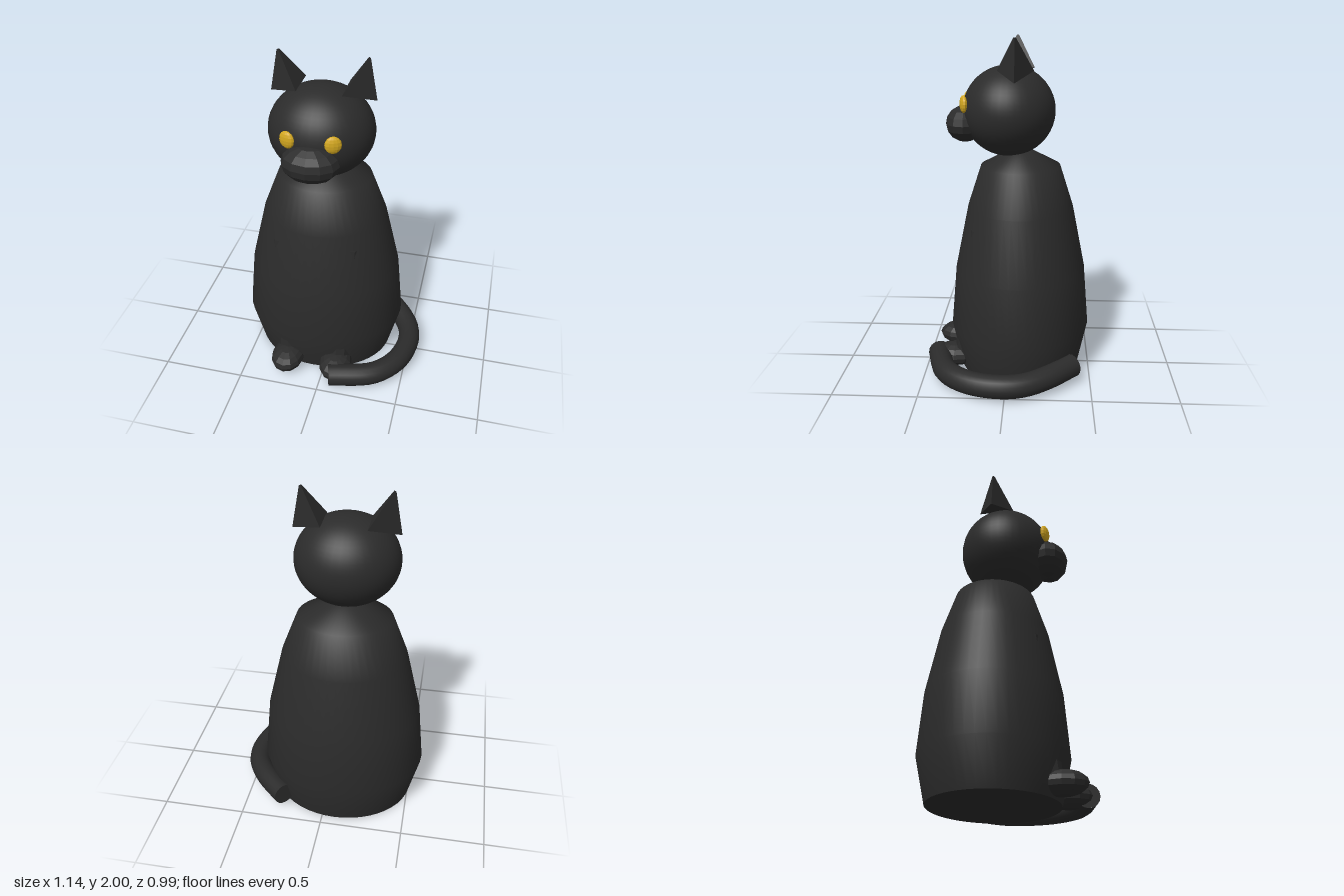
import * as THREE from 'three';

const CX = -0.075; // symmetry plane of body and head

export function createModel() {
  const fur = new THREE.MeshStandardMaterial({ color: 0x2b2b2b });
  fur.name = 'black fur';
  const furFlat = new THREE.MeshStandardMaterial({ color: 0x2b2b2b, flatShading: true });
  furFlat.name = 'black fur';
  const gold = new THREE.MeshStandardMaterial({ color: 0xd4a820, flatShading: true });
  gold.name = 'gold eye';

  const model = new THREE.Group();
  model.name = 'sittingCat';
  const add = (name, geometry, material, x = 0, y = 0, z = 0) => {
    const mesh = new THREE.Mesh(geometry, material);
    mesh.name = name;
    mesh.position.set(x, y, z);
    model.add(mesh);
    return mesh;
  };
  const ellipsoid = (name, material, [x, y, z], [rx, ry, rz], w, h) => {
    const mesh = add(name, new THREE.SphereGeometry(1, w, h), material, x, y, z);
    mesh.scale.set(rx, ry, rz);
    return mesh;
  };

  // Body: oval lathe with a flat base
  const profile = [[0.435, 0], [0.5, 0.26], [0.465, 0.62], [0.375, 1.0], [0.28, 1.25], [0.08, 1.34], [0, 1.34]]
    .map(([r, y]) => new THREE.Vector2(r, y));
  add('body', new THREE.LatheGeometry(profile, 48), fur, CX, 0, -0.07).scale.z = 0.85;
  const base = add('bodyBase', new THREE.CircleGeometry(0.435, 48).rotateX(Math.PI / 2), fur, CX, 0, -0.07);
  base.scale.z = 0.85;

  // Head and muzzle
  ellipsoid('head', fur, [CX, 1.575, 0], [0.305, 0.267, 0.275], 40, 28);
  ellipsoid('muzzle', furFlat, [CX, 1.497, 0.26], [0.165, 0.108, 0.117], 12, 8);

  // Mirrored parts: s = -1 is the model's right, s = 1 its left
  for (const s of [-1, 1]) {
    const side = s < 0 ? 'right' : 'left';

    const eye = ellipsoid(side + 'Eye', gold, [CX + s * 0.127, 1.625, 0.257], [0.047, 0.051, 0.021], 12, 8);
    eye.rotation.y = s * 0.33;

    // Three-sided ear with its ridge facing outward
    const ear = add(side + 'Ear',
      new THREE.CylinderGeometry(0.008, 0.122, 0.215, 3, 1, false, s * Math.PI / 2),
      furFlat, CX + s * 0.218, 1.899, -0.042);
    ear.rotation.z = -s * 0.31;

    // Front leg, mostly sunk into the body
    const top = new THREE.Vector3(CX + s * 0.185, 0.89, 0.125);
    const foot = new THREE.Vector3(CX + s * 0.155, 0.08, 0.245);
    const leg = add(side + 'FrontLeg',
      new THREE.CylinderGeometry(0.1, 0.085, top.distanceTo(foot), 10), furFlat);
    leg.position.copy(top).add(foot).multiplyScalar(0.5);
    leg.quaternion.setFromUnitVectors(new THREE.Vector3(0, 1, 0), top.clone().sub(foot).normalize());

    ellipsoid(side + 'Paw', furFlat, [CX + s * 0.157, 0.078, 0.325], [0.103, 0.07, 0.135], 12, 8);
  }

  // Tail: curls from the back around the left side to the front
  const R = 0.068;
  const path = new THREE.CatmullRomCurve3([
    [0.25, 0.097, -0.395], [0.4, 0.088, -0.24], [0.48, 0.08, -0.11], [0.502, 0.078, 0.01],
    [0.475, 0.076, 0.16], [0.41, 0.076, 0.275], [0.31, 0.076, 0.36], [0.06, 0.076, 0.43],
  ].map(p => new THREE.Vector3(...p)));
  add('tail', new THREE.TubeGeometry(path, 28, R, 16), fur);
  for (const t of [0, 1]) {
    const p = path.getPointAt(t);
    const cap = add('tailEnd', new THREE.CircleGeometry(R, 16), fur, p.x, p.y, p.z);
    const out = path.getTangentAt(t).multiplyScalar(t ? 1 : -1);
    cap.quaternion.setFromUnitVectors(new THREE.Vector3(0, 0, 1), out);
  }

  return model;
}
